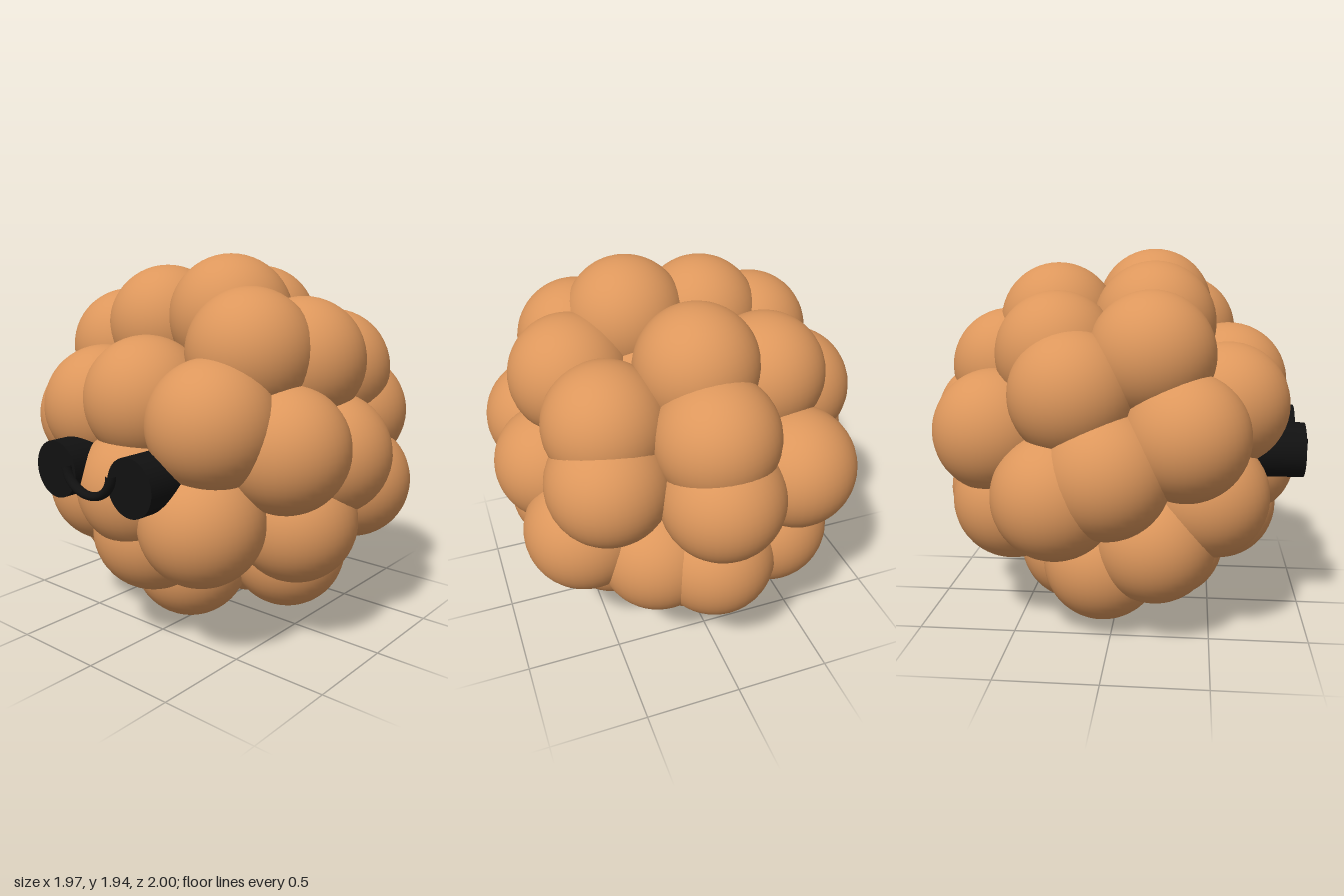
import * as THREE from 'three';

const material = (color) => new THREE.MeshStandardMaterial({ color });

function addMesh(parent, name, geometry, mat, x, y, z) {
  const mesh = new THREE.Mesh(geometry, mat);
  mesh.name = name;
  mesh.position.set(x, y, z);
  parent.add(mesh);
  return mesh;
}

// Centres of the equal balls, grouped by where they sit on the cluster
const CLUSTER = {
  crownBall: [
    [0.2, 1.64, 0.18], [0, 1.57, -0.32], [-0.21, 1.58, 0.2], [-0.38, 1.44, -0.27],
    [0.465, 1.355, -0.335], [0.54, 1.44, 0.04], [0.43, 1.495, 0.32], [-0.5, 1.45, 0.2],
  ],
  frontBall: [
    [0, 1.26, 0.58], [0.42, 1.19, 0.585], [-0.31, 1.19, 0.57], [0, 0.84, 0.64],
    [0, 0.59, 0.545], [-0.405, 0.74, 0.48], [0.36, 0.71, 0.59],
  ],
  leftBall: [
    [0.645, 1.06, 0.32], [0.67, 0.98, -0.02], [0.585, 0.655, 0.14],
    [0.605, 0.765, -0.35], [0.5, 1.11, -0.47],
  ],
  rightBall: [
    [-0.61, 1.08, 0.37], [-0.585, 1.27, -0.17], [-0.675, 0.905, 0],
    [-0.65, 0.79, -0.25], [-0.465, 0.515, 0.22],
  ],
  backBall: [
    [0, 1.33, -0.59], [0, 1.05, -0.69], [-0.43, 1.06, -0.585],
    [0.27, 0.66, -0.51], [0.01, 0.65, -0.63], [-0.33, 0.68, -0.52],
  ],
  bottomBall: [
    [0, 0.35, 0.27], [0, 0.32, -0.24], [-0.36, 0.37, -0.05], [0.395, 0.405, -0.06],
  ],
};

export function createModel() {
  const model = new THREE.Group();
  model.name = 'ballClusterCreature';
  const tan = material(0xdd975c);
  const black = material(0x111111);

  // Body: overlapping balls around a hidden core
  const body = new THREE.Group();
  body.name = 'body';
  model.add(body);
  const ball = new THREE.SphereGeometry(0.31, 40, 26);
  for (const [name, centres] of Object.entries(CLUSTER)) {
    for (const [x, y, z] of centres) addMesh(body, name, ball, tan, x, y, z);
  }
  addMesh(body, 'core', new THREE.SphereGeometry(0.68, 40, 26), tan, 0, 0.97, 0);

  // Face: two disc eyes and a curved smile between them
  const face = new THREE.Group();
  face.name = 'face';
  model.add(face);
  const eye = new THREE.CylinderGeometry(0.14, 0.14, 0.28, 40).rotateX(Math.PI / 2);
  for (const [name, x] of [['leftEye', 0.265], ['rightEye', -0.235]]) {
    addMesh(face, name, eye, black, x, 0.945, 0.825);
  }
  const smile = new THREE.TorusGeometry(0.152, 0.025, 16, 40, Math.PI).rotateZ(Math.PI);
  addMesh(face, 'smile', smile, black, 0.01, 0.985, 0.975).scale.y = 0.8;

  return model;
}
